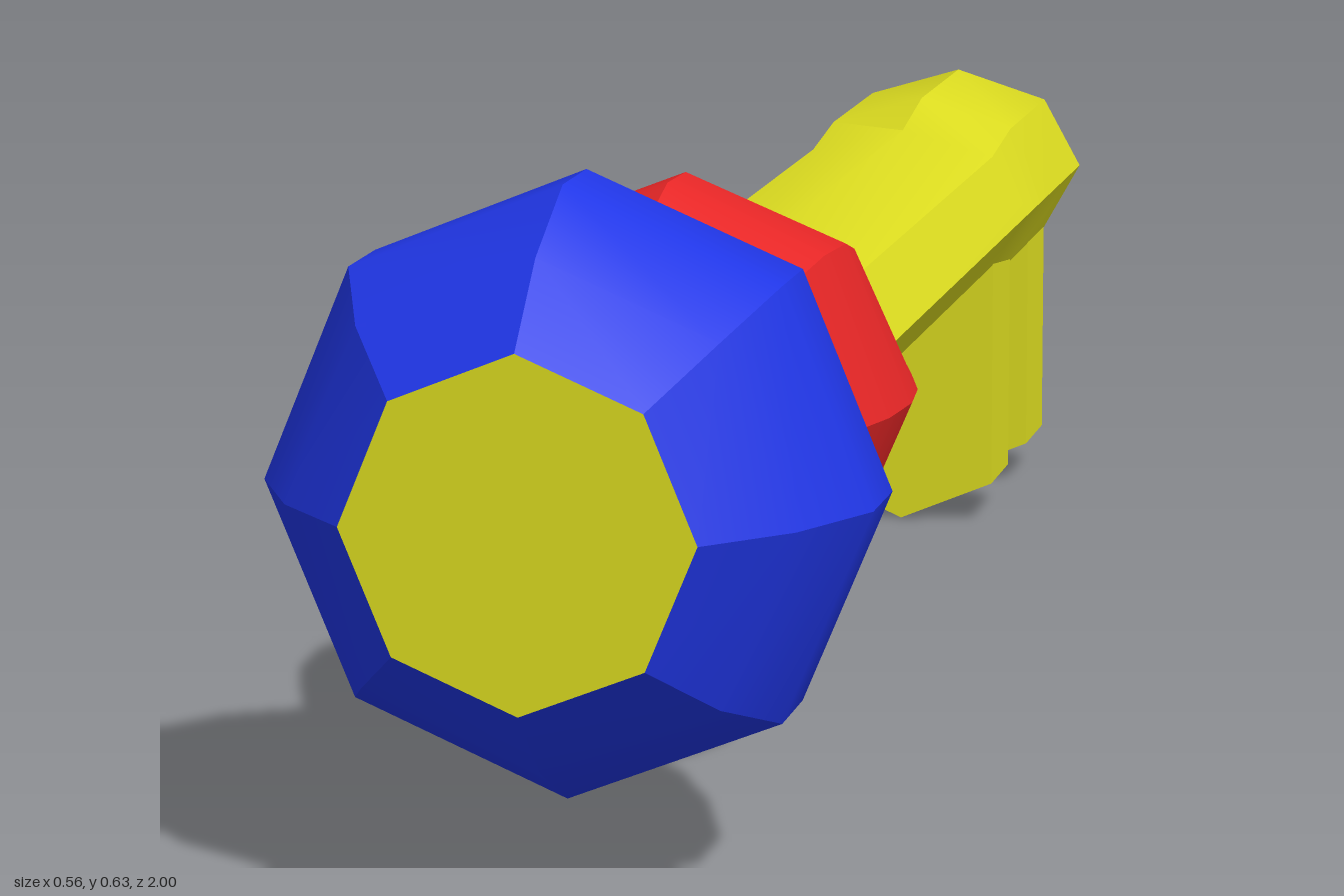
import * as THREE from 'three';
import { toCreasedNormals } from 'three/addons/utils/BufferGeometryUtils.js';

const AXIS_Y = 0.357;
const SIDES = 8;

// Lofts octagonal sections [z, radiusX, radiusY], listed from front to back
function loft(sections, capBack = false) {
  const pos = [], index = [];
  for (const [z, rx, ry] of sections) {
    for (let j = 0; j < SIDES; j++) {
      const a = (j / SIDES) * Math.PI * 2;
      pos.push(rx * Math.cos(a), AXIS_Y + ry * Math.sin(a), z);
    }
  }
  for (let i = 0; i < sections.length - 1; i++) {
    for (let j = 0; j < SIDES; j++) {
      const k = (j + 1) % SIDES;
      const a = i * SIDES + j, b = i * SIDES + k;
      const c = b + SIDES, d = a + SIDES;
      index.push(a, d, c, a, c, b);
    }
  }
  if (capBack) {
    const s = (sections.length - 1) * SIDES;
    for (let j = 1; j < SIDES - 1; j++) index.push(s, s + j + 1, s + j);
  }
  const geo = new THREE.BufferGeometry();
  geo.setAttribute('position', new THREE.Float32BufferAttribute(pos, 3));
  geo.setIndex(index);
  return toCreasedNormals(geo, THREE.MathUtils.degToRad(30));
}

export function createModel() {
  const group = new THREE.Group();
  const yellow = new THREE.MeshStandardMaterial({ color: 0xdddd20 });
  const blue = new THREE.MeshStandardMaterial({ color: 0x2036e6 });
  const red = new THREE.MeshStandardMaterial({ color: 0xe62626 });
  const add = (name, geo, mat) => {
    const mesh = new THREE.Mesh(geo, mat);
    mesh.name = name;
    group.add(mesh);
    return mesh;
  };

  // Large handle knob
  add('handleKnob', loft([
    [1, 0.16, 0.16], [0.93, 0.23, 0.23], [0.84, 0.278, 0.278],
    [0.76, 0.278, 0.278], [0.67, 0.23, 0.23], [0.595, 0.16, 0.16],
  ]), blue);

  // Flat disc closing the front of the knob
  const disc = add('handleCap', new THREE.CircleGeometry(0.16, SIDES), yellow);
  disc.position.set(0, AXIS_Y, 1);

  // Collar that narrows from the round knob to the flattened shaft
  add('collar', loft([
    [0.595, 0.16, 0.16], [0.53, 0.195, 0.197], [0.47, 0.213, 0.215],
    [0.4, 0.22, 0.213], [0.34, 0.213, 0.19], [0.27, 0.192, 0.146],
    [0.21, 0.16, 0.093],
  ], true), red);

  // Shaft with a thicker, chamfered tip
  add('shaft', loft([
    [0.215, 0.145, 0.088], [-0.595, 0.145, 0.088], [-0.7, 0.145, 0.108],
    [-0.91, 0.145, 0.108], [-1, 0.075, 0.065],
  ], true), yellow);

  // Two pointed teeth below the tip
  const outline = new THREE.Shape([
    new THREE.Vector2(0, 0), new THREE.Vector2(0.104, 0.045),
    new THREE.Vector2(0.104, 0.34), new THREE.Vector2(-0.104, 0.34),
    new THREE.Vector2(-0.104, 0.045),
  ]);
  const toothGeo = new THREE.ExtrudeGeometry(outline, { depth: 0.1, bevelEnabled: false });
  [['innerTooth', -0.695], ['outerTooth', -0.905]].forEach(([name, z]) => {
    add(name, toothGeo, yellow).position.z = z;
  });

  return group;
}
